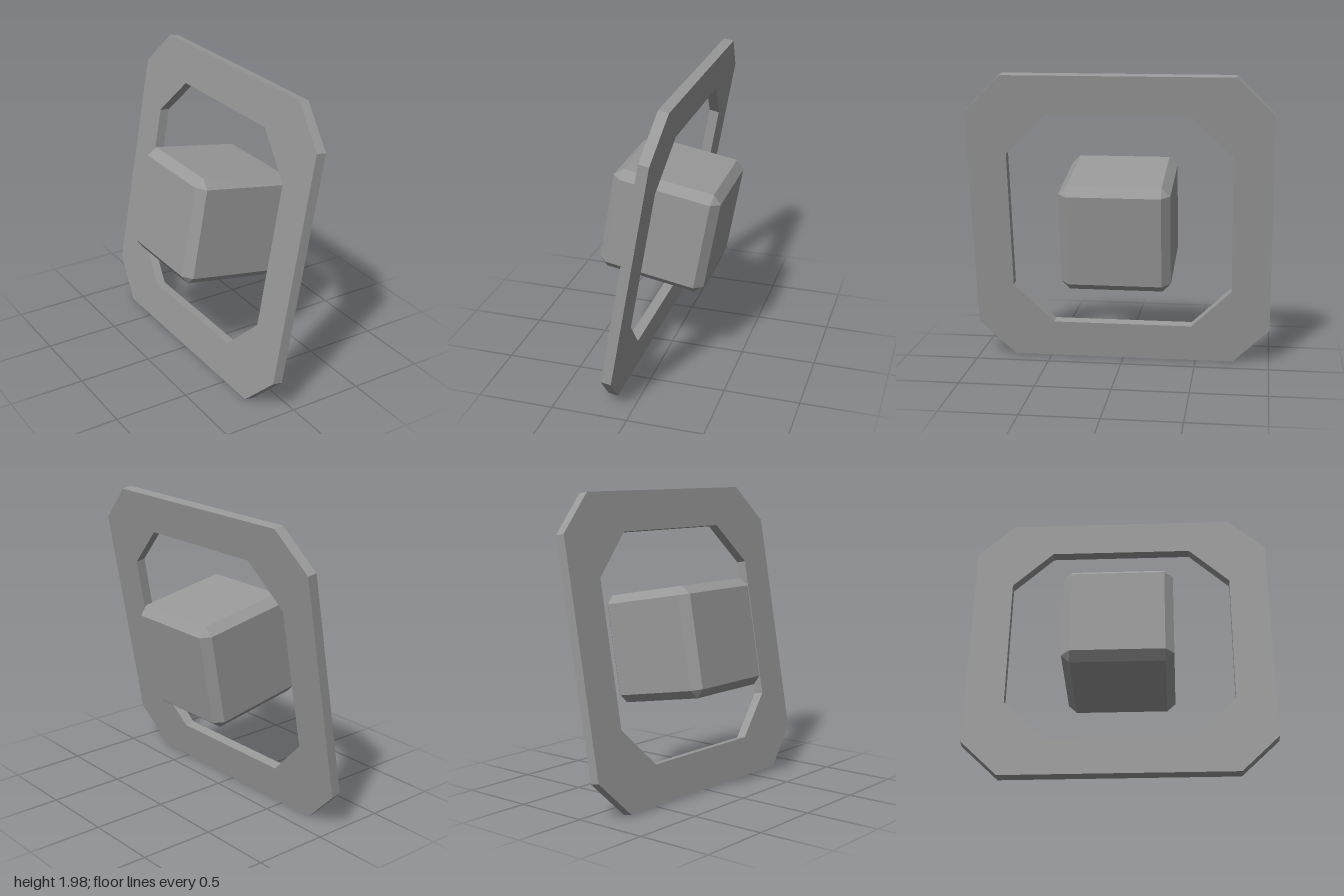
import * as THREE from 'three';
import { ConvexGeometry } from 'three/addons/geometries/ConvexGeometry.js';

// Corners of a square of half-size s whose corners are cut back to c
const octagon = (s, c) => [
  [s, -c], [s, c], [c, s], [-c, s], [-s, c], [-s, -c], [-c, -s], [c, -s],
].map(([x, y]) => new THREE.Vector2(x, y));

// Flat square frame with cut corners, standing in the YZ plane
function frameGeometry(thickness) {
  const shape = new THREE.Shape(octagon(1, 0.755));
  shape.holes.push(new THREE.Path(octagon(0.742, 0.472)));
  return new THREE.ExtrudeGeometry(shape, { depth: thickness, bevelEnabled: false })
    .translate(0, 0, -thickness / 2)
    .rotateY(Math.PI / 2);
}

// Cube of half-size s with chamfered edges, flat faces reaching out to f
function chamferedCubeGeometry(s, f) {
  const points = [];
  for (const x of [-1, 1]) for (const y of [-1, 1]) for (const z of [-1, 1]) {
    points.push(
      new THREE.Vector3(x * s, y * f, z * f),
      new THREE.Vector3(x * f, y * s, z * f),
      new THREE.Vector3(x * f, y * f, z * s),
    );
  }
  return new ConvexGeometry(points);
}

export function createModel() {
  const material = new THREE.MeshStandardMaterial({ color: 0x999999, flatShading: true });
  const model = new THREE.Group();
  model.name = 'framedCube';

  // Frame and cube share one tilt
  const tilted = new THREE.Group();
  tilted.name = 'tiltedAssembly';
  tilted.position.y = 0.99;
  tilted.rotation.z = -THREE.MathUtils.degToRad(10);
  model.add(tilted);

  const frame = new THREE.Mesh(frameGeometry(0.067), material);
  frame.name = 'outerFrame';

  const cube = new THREE.Mesh(chamferedCubeGeometry(0.357, 0.302), material);
  cube.name = 'centreCube';

  tilted.add(frame, cube);
  return model;
}
